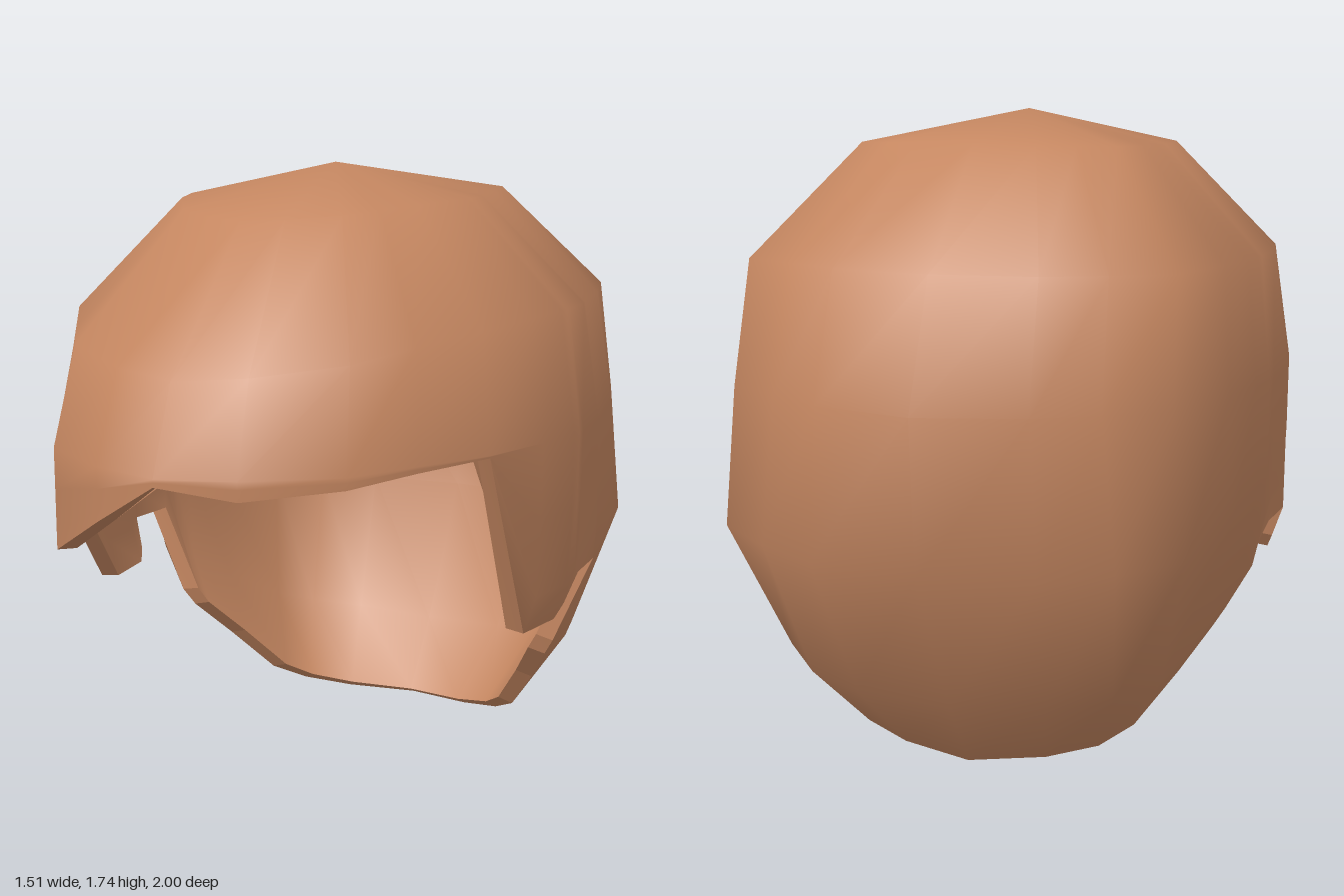
import * as THREE from 'three';

// Dome rows from crown to widest ring: [radius, y] along the front, side and back
const FRONT = [[0, 1.74], [0.55, 1.61], [0.91, 1.24], [1, 1.01]];
const SIDE = [[0, 1.74], [0.42, 1.65], [0.71, 1.36], [0.757, 1.03]];
const BACK = [[0, 1.74], [0.49, 1.67], [0.85, 1.37], [1, 1.04]];

// Plan of the widest ring: [depth, half width], both as fractions
const FRONT_PLAN = [[0, 1], [0.25, 0.95], [0.43, 0.87], [0.8, 0.57], [0.94, 0.27], [1, 0]];
const BACK_PLAN = [[0, 1], [0.16, 0.985], [0.46, 0.9], [0.72, 0.785], [0.92, 0.37], [1, 0]];

// Below the widest ring: [y, radius]
const SIDE_LOW = [[0, 0.45], [0.08, 0.5], [0.32, 0.615], [0.5, 0.71], [0.63, 0.753], [1.03, 0.757]];
const BACK_LOW = [[0, 0.57], [0.2, 0.72], [0.63, 0.97], [1.04, 1]];

// Hairline points [z, y, depth fraction at the widest ring], from the front to the back
const LEFT_FRINGE = [[0.94, 0.96], [0.8, 0.985], [0.62, 1.005], [0.43, 1.02]];
const RIGHT_FRINGE = [[0.94, 0.87], [0.8, 0.74], [0.65, 0.74], [0.43, 0.765]];
const EAR_AND_NAPE = [[0.22, 0.5], [0.05, 0.5], [0.02, 0.54], [0, 0.63], [-0.16, 0.63], [-0.16, 0.37],
  [-0.18, 0.32, -0.28], [-0.28, 0.21, -0.46], [-0.38, 0.08, -0.72], [-0.45, 0.035, -0.82], [-0.51, 0.01, -0.92]];

const THICKNESS = 0.06;
// Extra fullness of the back corners, per row
const DOME_BULGE = [0, 0.2, 0.1, 0];
const LOWER_ROWS = [[0.4, 0.14], [0.8, 0.28], [1, 0]];

function sample(table, x) {
  if (x <= table[0][0]) return table[0][1];
  for (let i = 1; i < table.length; i++) {
    const [x0, v0] = table[i - 1], [x1, v1] = table[i];
    if (x <= x1) return v0 + (v1 - v0) * (x - x0) / (x1 - x0);
  }
  return table[table.length - 1][1];
}

// A point at depth fraction s on a ring of the given half width and depth
function ringPoint(s, halfWidth, y, depth, bulge, side) {
  const c = sample(s >= 0 ? FRONT_PLAN : BACK_PLAN, Math.abs(s));
  const k = s < 0 ? 1 + bulge * s * s * c : 1;
  return [side * halfWidth * c * k, y, depth * s * k];
}

// One column of points from below the crown down to the hairline
function column([z, hairY, topDepth], side) {
  const rimS = z >= 0 ? z : z / sample(BACK_LOW, hairY);
  const topS = topDepth ?? rimS;
  const ends = topS >= 0 ? FRONT : BACK;
  const points = [];
  for (let k = 1; k < 4; k++) {
    const y = SIDE[k][1] + (ends[k][1] - SIDE[k][1]) * topS * topS;
    points.push(ringPoint(topS, SIDE[k][0], y, ends[k][0], DOME_BULGE[k], side));
  }
  const top = points[2][1];
  for (const [t, bulge] of LOWER_ROWS) {
    const y = top + (hairY - top) * t;
    const s = topS + (rimS - topS) * t * t;
    const depth = s >= 0 ? 1 : sample(BACK_LOW, y);
    points.push(ringPoint(s, sample(SIDE_LOW, y), y, depth, bulge, side));
  }
  return points;
}

function geometry(positions, index) {
  const g = new THREE.BufferGeometry();
  g.setAttribute('position', new THREE.Float32BufferAttribute(positions, 3));
  g.setIndex(index);
  g.computeVertexNormals();
  return g;
}

export function createModel() {
  const group = new THREE.Group();
  group.name = 'hair';
  const material = new THREE.MeshStandardMaterial({ color: 0xc48660 });
  material.name = 'hair brown';
  const add = (name, g) => {
    const mesh = new THREE.Mesh(g, material);
    mesh.name = name;
    group.add(mesh);
  };

  // Columns all the way round, starting at the front parting
  const columns = [
    column([1, 0.99], 1),
    ...[...LEFT_FRINGE, ...EAR_AND_NAPE].map(p => column(p, 1)),
    column([-0.57, 0], 1),
    ...[...RIGHT_FRINGE, ...EAR_AND_NAPE].reverse().map(p => column(p, -1)),
  ];
  const n = columns.length, rows = 3 + LOWER_ROWS.length;
  const id = (i, j) => 1 + (i % n) * rows + j;

  // Outer hair surface
  const outer = [0, 1.74, 0, ...columns.flat(2)];
  const index = [];
  for (let i = 0; i < n; i++) {
    index.push(0, id(i, 0), id(i + 1, 0));
    for (let j = 0; j < rows - 1; j++) {
      const a = id(i, j), b = id(i + 1, j), c = id(i, j + 1), d = id(i + 1, j + 1);
      index.push(a, c, b, b, c, d);
    }
  }
  const outerGeometry = geometry(outer, index);
  add('outerHair', outerGeometry);

  // Inner lining: offset inward, kept level at the nape and square to the ear notches
  const normals = outerGeometry.attributes.normal.array;
  const inner = [];
  for (let k = 0; k < outer.length; k += 3) {
    const [x, y, z] = outer.slice(k, k + 3);
    const [nx, ny, nz] = normals.slice(k, k + 3);
    inner.push(
      x - nx * THICKNESS,
      y - (ny < 0 ? ny * 0.4 : ny) * THICKNESS,
      z - nz * Math.abs(z) * THICKNESS,
    );
  }
  const reversed = [];
  for (let k = 0; k < index.length; k += 3) reversed.push(index[k], index[k + 2], index[k + 1]);
  add('innerLining', geometry(inner, reversed));

  // Rim that closes the hairline; each segment has its own corners for crisp steps
  const rim = [], rimIndex = [];
  const at = (list, v) => list.slice(v * 3, v * 3 + 3);
  for (let i = 0; i < n; i++) {
    const p = id(i, rows - 1), q = id(i + 1, rows - 1), o = i * 4;
    rim.push(...at(outer, p), ...at(outer, q), ...at(inner, p), ...at(inner, q));
    rimIndex.push(o, o + 2, o + 1, o + 1, o + 2, o + 3);
  }
  add('hairlineRim', geometry(rim, rimIndex));

  return group;
}
